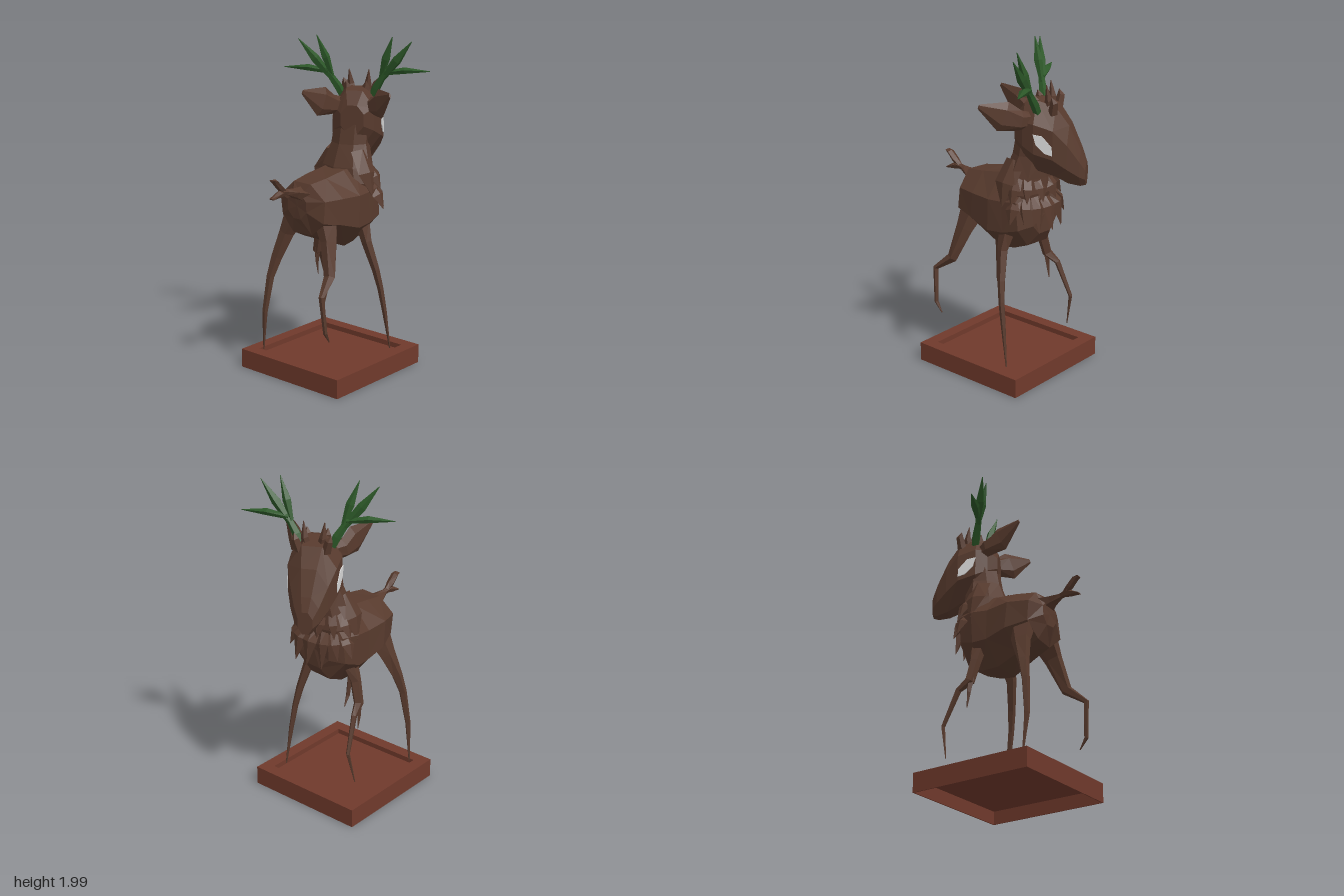
import * as THREE from 'three';

const mat = (name, color) => Object.assign(new THREE.MeshStandardMaterial({ color }), { name });
const V = (x, y, z) => new THREE.Vector3(x, y, z);

// Skin a series of rings into a closed, flat-faceted solid facing outward
function loft(rings) {
  const tris = [], n = rings[0].length;
  const centre = r => r.reduce((a, p) => a.add(p), V(0, 0, 0)).divideScalar(n);
  const first = centre(rings[0]), last = centre(rings[rings.length - 1]);
  for (let i = 0; i < n; i++) {
    const j = (i + 1) % n;
    for (let k = 0; k < rings.length - 1; k++) {
      const a = rings[k], b = rings[k + 1];
      if ((i + k) % 2) tris.push([a[i], a[j], b[j]], [a[i], b[j], b[i]]);
      else tris.push([a[i], a[j], b[i]], [a[j], b[j], b[i]]);
    }
    tris.push([first, rings[0][j], rings[0][i]]);
    tris.push([last, rings[rings.length - 1][i], rings[rings.length - 1][j]]);
  }
  const volume = tris.reduce((s, [a, b, c]) => s + a.clone().sub(first).dot(b.clone().sub(first).cross(c.clone().sub(first))), 0);
  const points = tris.flatMap(t => (volume < 0 ? [t[0], t[2], t[1]] : t));
  const geo = new THREE.BufferGeometry().setFromPoints(points);
  geo.computeVertexNormals();
  return geo;
}

// Sections across x: [x, bottom, top, halfWidth]
function hull(sections, cz = 0, sides = 8, wobble = 0) {
  const k = 1 / Math.cos(Math.PI / sides);
  return loft(sections.map(([x, lo, hi, w], s) => Array.from({ length: sides }, (_, i) => {
    const a = (i + 0.5) / sides * Math.PI * 2, d = 1 + wobble * Math.sin(i * 5.3 + s * 2.7);
    return V(x + wobble * 0.3 * Math.sin(i * 3.1 + s), (lo + hi) / 2 + (hi - lo) / 2 * k * Math.sin(a) * d,
      cz + w * k * Math.cos(a) * d);
  })));
}

// Tapered limb along points [x, y, z, radius, sideRadius?]
function limb(points, sides = 5) {
  const p = points.map(q => V(q[0], q[1], q[2]));
  const whole = p[p.length - 1].clone().sub(p[0]).normalize();
  const ref = Math.abs(whole.y) > 0.8 ? V(1, 0, 0) : V(0, 1, 0);
  return loft(points.map((q, i) => {
    const t = p[Math.min(i + 1, p.length - 1)].clone().sub(p[Math.max(i - 1, 0)]).normalize();
    const side = t.clone().cross(ref).normalize(), up = side.clone().cross(t);
    return Array.from({ length: sides }, (_, k) => {
      const a = k / sides * Math.PI * 2;
      return p[i].clone().addScaledVector(up, Math.cos(a) * q[3]).addScaledVector(side, Math.sin(a) * (q[4] ?? q[3]));
    });
  }));
}

export function createModel() {
  const model = new THREE.Group();
  model.name = 'deerOnStand';
  const hide = mat('brown hide', 0x573a2d), wood = mat('red wood', 0x6f392b);
  const green = mat('antler green', 0x2b5627), white = mat('eye white', 0xd8d8d8);
  const add = (parent, name, geo, material) => {
    const m = new THREE.Mesh(geo, material);
    m.name = name;
    parent.add(m);
    return m;
  };

  // Stand: hollow underneath, with a raised rim around a recessed panel
  const rect = (S, w) => new S([[-w, -w], [w, -w], [w, w], [-w, w]].map(([x, y]) => new THREE.Vector2(x, y)));
  const frame = (outer, inner, y0, y1) => {
    const shape = rect(THREE.Shape, outer);
    shape.holes.push(rect(THREE.Path, inner));
    return new THREE.ExtrudeGeometry(shape, { depth: y1 - y0, bevelEnabled: false }).rotateX(-Math.PI / 2).translate(0, y0, -0.015);
  };
  add(model, 'standWalls', frame(0.381, 0.375, 0, 0.115), wood);
  add(model, 'standRim', frame(0.38, 0.306, 0.08, 0.115), wood);
  add(model, 'standPanel', new THREE.BoxGeometry(0.62, 0.006, 0.62).translate(0, 0.081, -0.015), wood);

  // Trunk
  add(model, 'body', hull([
    [-0.29, 0.98, 1.13, 0.07], [-0.245, 0.88, 1.18, 0.165], [-0.12, 0.83, 1.205, 0.2], [0.02, 0.77, 1.22, 0.205],
    [0.12, 0.77, 1.23, 0.205], [0.22, 0.82, 1.22, 0.185], [0.275, 0.89, 1.12, 0.11],
  ], -0.017, 8, 0.03), hide);

  // Neck: stacked ovals [y, centre x, radius x, radius z]
  add(model, 'neck', loft([
    [1.06, 0.15, 0.12, 0.18], [1.14, 0.15, 0.14, 0.195], [1.23, 0.155, 0.13, 0.165], [1.36, 0.18, 0.105, 0.12], [1.52, 0.205, 0.1, 0.11],
  ].map(([y, cx, rx, rz]) => Array.from({ length: 8 }, (_, i) => {
    const a = i / 8 * Math.PI * 2;
    return V(cx + Math.cos(a) * rx, y, -0.015 + Math.sin(a) * rz);
  }))), hide);

  // Chest ruff: two tiers of broad pointed tufts
  for (const [tier, count, y, drop, reach] of [[0, 6, 1.24, 0.14, 0.015], [1, 7, 1.14, 0.16, 0.035]]) {
    for (let i = 0; i < count; i++) {
      const a = (i / (count - 1) - 0.5) * 2.5, c = Math.cos(a), s = Math.sin(a);
      // Blend the blade's width between z (front) and x (flanks)
      const at = (rx, rz, py, thick, wide) => [0.15 + c * rx, py, -0.015 + s * rz, wide + (thick - wide) * c * c, thick + (wide - thick) * c * c];
      const low = y - drop - (c > 0.7 ? 0.06 * tier : 0);
      add(model, 'ruffTuft', limb([at(0.09, 0.13, y, 0.02, 0.035), at(0.125 + reach, 0.175 + reach, y - drop * 0.5, 0.016, 0.052),
        at(0.15 + reach, 0.21 + reach, low, 0.002, 0.002)], 4), hide);
    }
  }
  // Long mane points at the sides of the neck
  for (const s of [1, -1]) add(model, 'manePoint', limb([[0.14, 1.32, -0.015 + s * 0.1, 0.07, 0.03],
    [0.125, 1.2, -0.015 + s * 0.175, 0.075, 0.025], [0.13, 1.07, -0.015 + s * 0.21, 0.003]], 4), hide);

  // Legs: one of each pair planted, the other lifted
  add(model, 'frontLegPlanted', limb([[0.12, 0.92, 0.13, 0.06, 0.04], [0.115, 0.79, 0.168, 0.032], [0.145, 0.62, 0.215, 0.024],
    [0.165, 0.5, 0.237, 0.019], [0.19, 0.35, 0.25, 0.015], [0.225, 0.112, 0.265, 0.004]]), hide);
  add(model, 'frontLegLifted', limb([[0.12, 0.92, -0.15, 0.06, 0.04], [0.112, 0.79, -0.195, 0.034], [0.125, 0.66, -0.23, 0.03],
    [0.19, 0.61, -0.25, 0.018], [0.275, 0.4, -0.275, 0.012], [0.235, 0.2, -0.295, 0.003]]), hide);
  add(model, 'frontLegSpur', limb([[0.12, 0.68, -0.225, 0.024], [0.125, 0.59, -0.235, 0.014], [0.137, 0.5, -0.235, 0.003]], 4), hide);
  add(model, 'hindLegPlanted', limb([[-0.17, 0.97, -0.13, 0.09, 0.06], [-0.2, 0.85, -0.18, 0.06, 0.04], [-0.245, 0.7, -0.225, 0.034],
    [-0.275, 0.58, -0.25, 0.024], [-0.3, 0.36, -0.275, 0.017], [-0.288, 0.112, -0.3, 0.004]]), hide);
  add(model, 'hindLegLifted', limb([[-0.17, 0.97, 0.1, 0.09, 0.06], [-0.2, 0.85, 0.15, 0.06, 0.04], [-0.255, 0.66, 0.2, 0.034],
    [-0.365, 0.575, 0.235, 0.017], [-0.35, 0.36, 0.25, 0.013], [-0.31, 0.295, 0.245, 0.003]]), hide);

  // Tail with a split tip
  add(model, 'tail', limb([[-0.23, 1.11, -0.015, 0.06, 0.11], [-0.31, 1.135, -0.02, 0.028, 0.05], [-0.37, 1.15, -0.02, 0.018], [-0.42, 1.16, -0.02, 0.018, 0.024]]), hide);
  add(model, 'tailTipUpper', limb([[-0.39, 1.155, -0.02, 0.016], [-0.43, 1.19, -0.02, 0.018, 0.026], [-0.47, 1.23, -0.02, 0.014, 0.026], [-0.495, 1.24, -0.02, 0.004, 0.02]]), hide);
  add(model, 'tailTipLower', limb([[-0.38, 1.155, -0.02, 0.016], [-0.43, 1.15, -0.02, 0.02, 0.026], [-0.495, 1.13, -0.02, 0.004, 0.02]]), hide);

  // Head, turned towards its right
  const head = new THREE.Group();
  head.name = 'head';
  head.position.set(0.2125, 0, 0);
  head.rotation.y = 0.473;
  model.add(head);
  add(head, 'skull', hull([
    [-0.105, 1.42, 1.59, 0.07], [-0.05, 1.34, 1.67, 0.12], [0.02, 1.28, 1.69, 0.147], [0.13, 1.25, 1.655, 0.14],
    [0.205, 1.21, 1.55, 0.108], [0.27, 1.195, 1.41, 0.07], [0.3, 1.2, 1.33, 0.042],
  ]), hide);

  const eye = new THREE.Shape([[-0.062, 0.06], [-0.01, 0.052], [0.045, -0.01], [0.048, -0.06], [0.005, -0.048], [-0.045, 0]]
    .map(([x, y]) => new THREE.Vector2(x, y)));
  for (const s of [1, -1]) {
    const side = s > 0 ? 'left' : 'right';
    const eyeGeo = new THREE.ExtrudeGeometry(eye, { depth: 0.008, bevelEnabled: false });
    const e = add(head, side + 'Eye', eyeGeo.translate(0, 0, -0.004), white);
    // Mirrored eye for the other cheek
    e.scale.z = s;
    e.position.set(0.08, 1.455, s * 0.1445);
    e.rotation.y = s * 0.07;

    const mirrored = pts => pts.map(([x, y, z, ...r]) => [x, y, z * s, ...r]);
    add(head, side + 'Ear', limb(mirrored([[-0.01, 1.58, 0.08, 0.045, 0.035], [-0.06, 1.585, 0.13, 0.058, 0.045],
      [-0.145, 1.615, 0.175, 0.088, 0.032], [-0.262, 1.685, 0.255, 0.014, 0.006]]), 6), hide);

    // Antler: stem and three blade-like prongs
    const prongs = {
      Stem: [[0.04, 1.58, 0.065, 0.022], [0.02, 1.68, 0.115, 0.026], [-0.01, 1.79, 0.185, 0.016]],
      InnerProng: [[0.005, 1.74, 0.145, 0.012], [-0.025, 1.86, 0.18, 0.026], [-0.055, 1.99, 0.225, 0.002]],
      MiddleProng: [[0.01, 1.72, 0.14, 0.016], [-0.025, 1.85, 0.245, 0.028], [-0.05, 1.965, 0.337, 0.002]],
      OuterProng: [[0.005, 1.77, 0.165, 0.014], [0, 1.79, 0.29, 0.02, 0.028], [0, 1.79, 0.438, 0.002]],
    };
    for (const [name, pts] of Object.entries(prongs)) add(head, side + 'Antler' + name, limb(mirrored(pts)), green);

    // Tufts between the antlers
    for (const [x, z, top, lean] of [[0.075, 0.035, 1.78, 0.025], [0.115, 0.075, 1.72, 0.03], [0.0, 0.05, 1.72, 0.01]])
      add(head, 'crownTuft', limb(mirrored([[x, 1.62, z, 0.028], [x + 0.012, 1.69, z + lean * 0.7, 0.022], [x, top, z + lean, 0.002]]), 4), hide);
  }
  return model;
}
